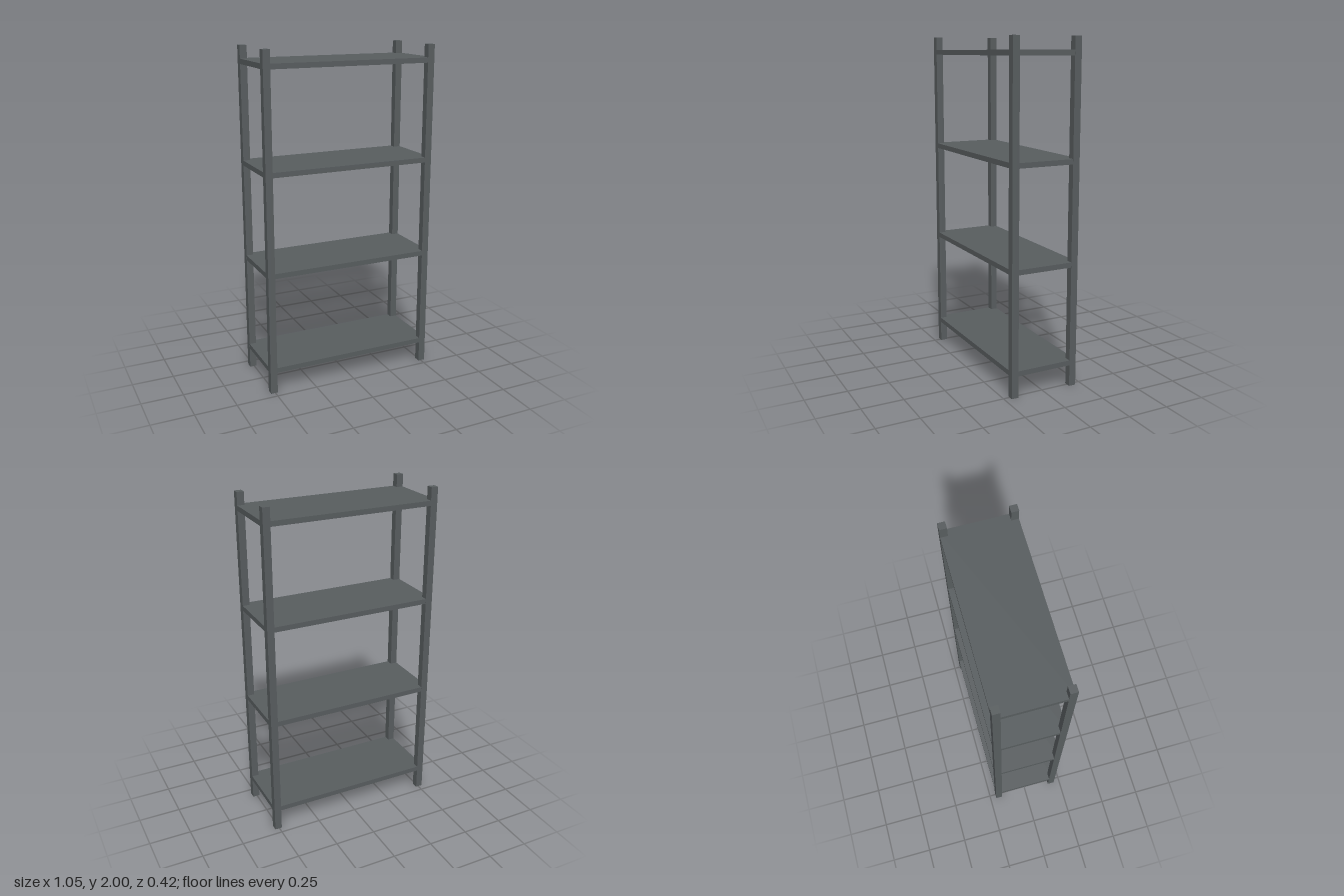
import * as THREE from 'three';

const WIDTH = 1.053, HEIGHT = 2, DEPTH = 0.421;
const POST = 0.042, THICKNESS = 0.03;

export function createModel() {
  const group = new THREE.Group();
  group.name = 'shelvingUnit';

  const metal = new THREE.MeshStandardMaterial({ color: 0x585d5f });
  metal.name = 'anthracite metal';

  function addBox(name, w, h, d, x, y, z) {
    const mesh = new THREE.Mesh(new THREE.BoxGeometry(w, h, d), metal);
    mesh.name = name;
    mesh.position.set(x, y, z);
    group.add(mesh);
  }

  // Square corner posts
  for (const [xName, sx] of [['Left', 1], ['Right', -1]]) {
    for (const [zName, sz] of [['front', 1], ['back', -1]]) {
      addBox(zName + xName + 'Post', POST, HEIGHT, POST,
        sx * (WIDTH - POST) / 2, HEIGHT / 2, sz * (DEPTH - POST) / 2);
    }
  }

  // Four evenly spaced shelves, flush with the posts (hair inset avoids coplanar faces)
  for (let i = 0; i < 4; i++) {
    addBox('shelf' + (i + 1), WIDTH - 0.001, THICKNESS, DEPTH - 0.001,
      0, 0.143 + i * 0.589, 0);
  }

  return group;
}
